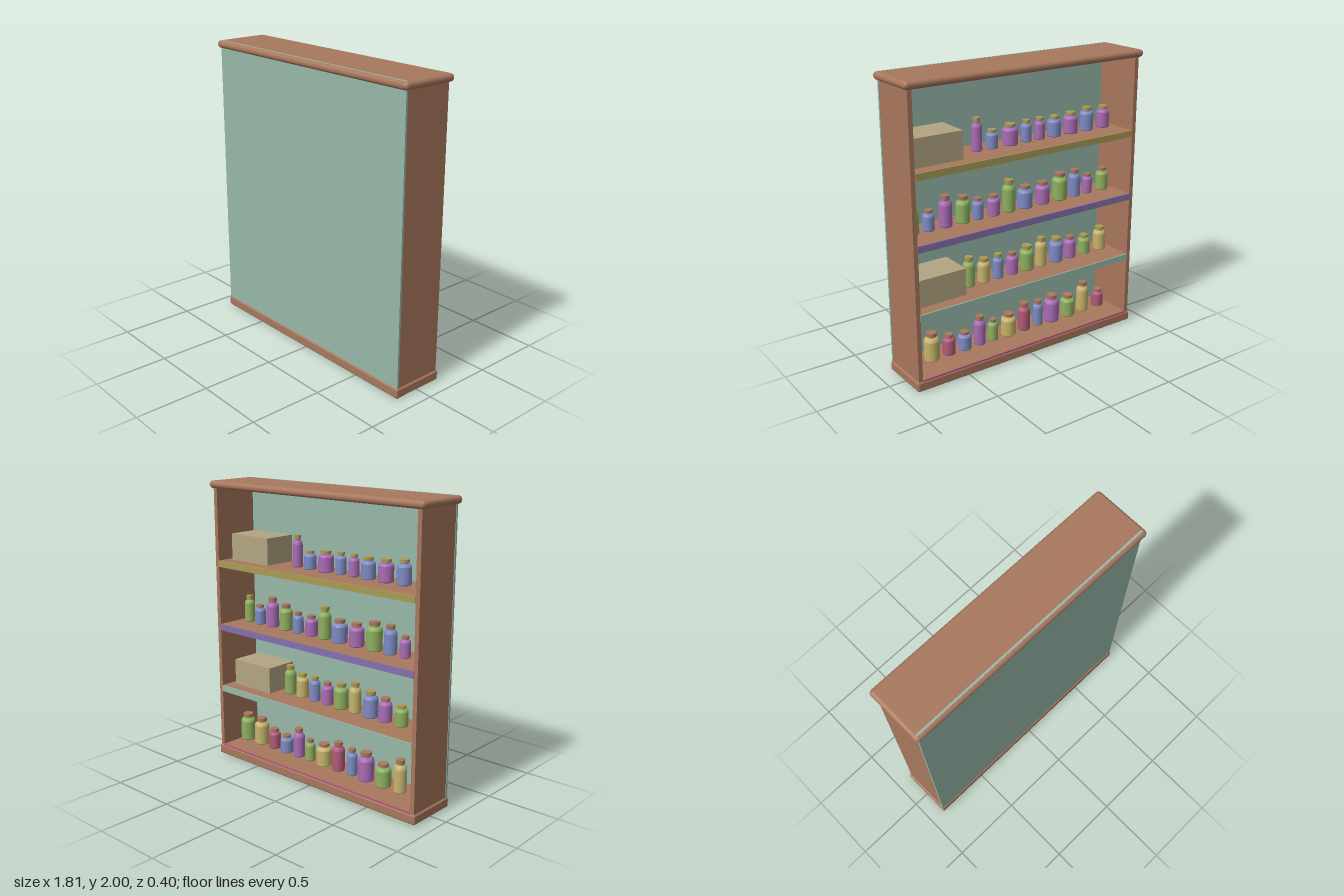
import * as THREE from 'three';
import { RoundedBoxGeometry } from 'three/addons/geometries/RoundedBoxGeometry.js';

const material = (name, color) => {
  const m = new THREE.MeshStandardMaterial({ color });
  m.name = name;
  return m;
};

export function createModel() {
  const wood = material('wood', 0xa8775d);
  const panel = material('sage panel', 0x97b8a9);
  const tan = material('box tan', 0xb3a582);
  const olive = material('olive', 0xaa9a55);
  const violet = material('violet trim', 0x8470ac);
  const glass = {
    g: material('green glass', 0x8fb060),
    y: material('yellow glass', 0xc6b36c),
    b: material('blue glass', 0x7f8bc4),
    p: material('purple glass', 0xa96cb4),
    r: material('red glass', 0xb35a78),
  };

  const group = new THREE.Group();
  group.name = 'jarCabinet';
  const add = (name, geometry, mat, x, y, z, parent = group) => {
    const mesh = new THREE.Mesh(geometry, mat);
    mesh.name = name;
    mesh.position.set(x, y, z);
    parent.add(mesh);
    return mesh;
  };
  const box = (w, h, d) => new THREE.BoxGeometry(w, h, d);

  // Carcass: mouldings, sides and the closed panel; the open side faces -z
  add('topMoulding', new RoundedBoxGeometry(1.81, 0.05, 0.4, 4, 0.024), wood, 0, 1.974, 0);
  add('baseMoulding', new RoundedBoxGeometry(1.78, 0.066, 0.37, 3, 0.012), wood, 0, 0.037, 0);
  for (const s of [-1, 1]) {
    add(s > 0 ? 'leftSide' : 'rightSide', box(0.03, 1.95, 0.34), wood, s * 0.864, 0.985, -0.005);
  }
  add('closedPanel', box(1.765, 2, 0.014), panel, 0, 1, 0.17);

  // Jar pieces at unit size, scaled for each jar
  const lathe = (pts) => new THREE.LatheGeometry(pts.map((p) => new THREE.Vector2(...p)), 16);
  const bodyGeometry = lathe([[0, 0], [0.94, 0], [0.94, 0], [1, 0.03], [1, 0.03], [1, 0.7],
    [1, 0.7], [0.92, 0.77], [0.75, 0.81], [0.56, 0.83], [0.56, 0.83], [0.56, 0.91]]);
  const capGeometry = new THREE.CylinderGeometry(0.68, 0.68, 0.12, 16);

  const addJar = (parent, x, y, radius, height, mat, capMat) => {
    const jar = new THREE.Group();
    jar.name = 'jar';
    jar.position.set(x, y, 0.03);
    jar.scale.set(radius, height, radius);
    add('jarBody', bodyGeometry, mat, 0, 0, 0, jar);
    add('jarCap', capGeometry, capMat, 0, 0.94, 0, jar);
    parent.add(jar);
  };

  // Each shelf: top height, trim colour, storage box, jars as [colour, x, radius, height, cap?]
  const shelves = [
    { top: 1.447, trim: olive, cap: olive, storage: true, jars: [
      ['p', 0.285, 0.035, 0.217], ['b', 0.17, 0.041, 0.123], ['p', 0.03, 0.053, 0.14],
      ['b', -0.1, 0.036, 0.145], ['p', -0.21, 0.036, 0.145], ['b', -0.33, 0.047, 0.14],
      ['p', -0.47, 0.05, 0.145], ['b', -0.61, 0.047, 0.16], ['p', -0.755, 0.045, 0.15]] },
    { top: 0.99, trim: violet, cap: wood, storage: false, jars: [
      ['g', 0.762, 0.036, 0.19, olive], ['b', 0.654, 0.039, 0.137], ['p', 0.53, 0.044, 0.208],
      ['g', 0.4, 0.047, 0.18], ['b', 0.285, 0.038, 0.143], ['p', 0.162, 0.044, 0.14],
      ['g', 0.04, 0.044, 0.22, olive], ['b', -0.092, 0.053, 0.155], ['p', -0.238, 0.05, 0.155],
      ['g', -0.385, 0.053, 0.19], ['b', -0.515, 0.043, 0.19], ['p', -0.63, 0.036, 0.14],
      ['g', -0.765, 0.044, 0.16]] },
    { top: 0.533, trim: panel, cap: olive, storage: true, jars: [
      ['g', 0.362, 0.041, 0.205], ['y', 0.246, 0.043, 0.17], ['b', 0.13, 0.038, 0.172],
      ['p', 0.015, 0.041, 0.157, wood], ['g', -0.108, 0.05, 0.177], ['y', -0.23, 0.041, 0.207],
      ['b', -0.362, 0.05, 0.177], ['p', -0.485, 0.044, 0.16, wood], ['g', -0.615, 0.044, 0.14],
      ['y', -0.76, 0.046, 0.17]] },
    { top: 0.078, trim: glass.r, cap: wood, storage: false, jars: [
      ['g', 0.807, 0.053, 0.197], ['y', 0.662, 0.053, 0.197], ['r', 0.53, 0.044, 0.147],
      ['b', 0.408, 0.047, 0.13], ['p', 0.285, 0.041, 0.21], ['g', 0.177, 0.036, 0.155],
      ['y', 0.046, 0.053, 0.16], ['r', -0.085, 0.044, 0.205], ['b', -0.208, 0.036, 0.19],
      ['p', -0.33, 0.055, 0.2], ['g', -0.477, 0.053, 0.16], ['y', -0.615, 0.044, 0.225],
      ['r', -0.76, 0.042, 0.13]] },
  ];

  shelves.forEach(({ top, trim, cap, storage, jars }, i) => {
    const shelf = new THREE.Group();
    shelf.name = `shelf${i + 1}`;
    group.add(shelf);
    add('shelfBoard', box(1.7, 0.04, 0.335), wood, 0, top - 0.02, -0.005, shelf);
    add('shelfTrim', box(1.7, 0.044, 0.009), trim, 0, top - 0.021, -0.1755, shelf);
    if (storage) add('storageBox', box(0.35, 0.185, 0.24), tan, 0.632, top + 0.0925, 0.035, shelf);
    for (const [c, x, r, h, ownCap] of jars) addJar(shelf, x, top, r, h, glass[c], ownCap || cap);
  });

  return group;
}
